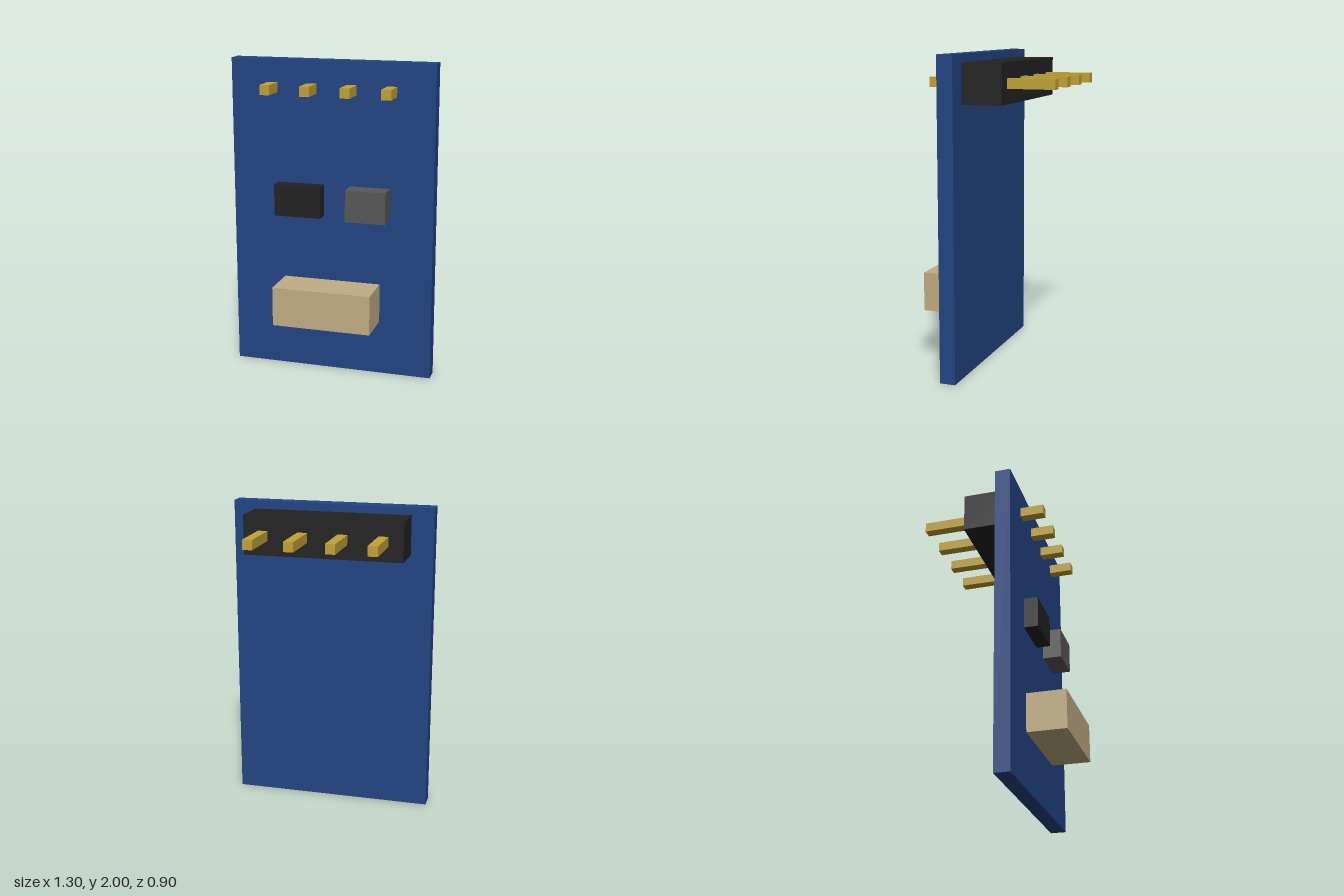
import * as THREE from 'three';

const material = (name, color) => {
  const m = new THREE.MeshStandardMaterial({ color });
  m.name = name;
  return m;
};

export function createModel() {
  const group = new THREE.Group();
  group.name = 'sensorModule';

  const blue = material('boardBlue', 0x224484);
  const black = material('plasticBlack', 0x222222);
  const grey = material('componentGrey', 0x585858);
  const tan = material('connectorTan', 0xc2ae84);
  const gold = material('pinGold', 0xc2a335);

  // Box given by its lower and upper corners
  const addBox = (name, mat, [x0, y0, z0], [x1, y1, z1]) => {
    const mesh = new THREE.Mesh(new THREE.BoxGeometry(x1 - x0, y1 - y0, z1 - z0), mat);
    mesh.position.set((x0 + x1) / 2, (y0 + y1) / 2, (z0 + z1) / 2);
    mesh.name = name;
    group.add(mesh);
  };

  // Circuit board
  addBox('board', blue, [-0.65, 0, 0.1], [0.65, 2, 0.2]);

  // Components on the front
  addBox('chip', black, [-0.35, 1.025, 0.2], [-0.05, 1.225, 0.29]);
  addBox('regulator', grey, [0.12, 1.025, 0.2], [0.375, 1.225, 0.32]);
  addBox('connector', tan, [-0.315, 0.35, 0.2], [0.315, 0.6, 0.45]);

  // Pin header on the back
  addBox('headerBody', black, [-0.507, 1.7, -0.15], [0.507, 1.95, 0.1]);

  // Pins on each side of the board and header
  for (let i = 0; i < 4; i++) {
    const x = (i - 1.5) * 0.254;
    addBox(`pin${i + 1}`, gold, [x - 0.031, 1.794, -0.45], [x + 0.031, 1.856, 0.35]);
  }

  return group;
}
